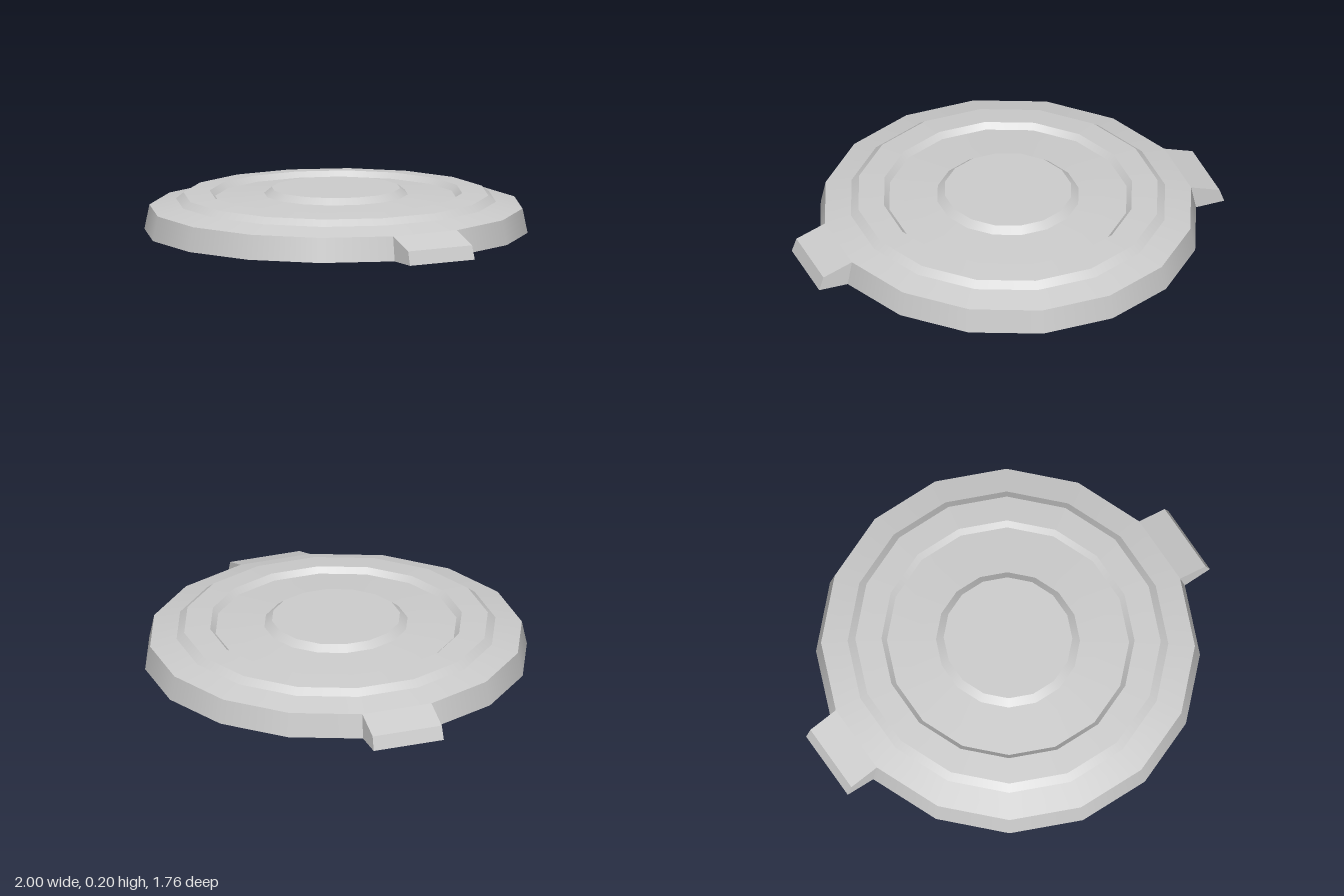
import * as THREE from 'three';
import { mergeGeometries } from 'three/addons/utils/BufferGeometryUtils.js';

const SIDES = 16;
const OVAL = 0.983; // the rings are slightly narrower across x than across z

export function createModel() {
  const group = new THREE.Group();
  const material = new THREE.MeshStandardMaterial({ color: 0xcccccc, side: THREE.DoubleSide });

  const add = (name, geometry) => {
    const mesh = new THREE.Mesh(geometry, material);
    mesh.name = name;
    group.add(mesh);
    return mesh;
  };

  // Oval ring part from [radius, height] points: smooth around, a crisp edge at every point
  const revolve = (name, profile) => {
    const points = profile.map(([r, y]) => new THREE.Vector2(r, y));
    const bands = points.slice(1).map((p, i) => new THREE.LatheGeometry([points[i], p], SIDES));
    const geometry = mergeGeometries(bands).scale(OVAL, 1, 1);
    geometry.normalizeNormals();
    add(name, geometry);
  };

  // Hollow underside with a flat foot ring
  revolve('underside', [[0, 0.07], [0.755, 0.07], [0.765, 0], [0.88, 0]]);

  // Outer wall, stepped shoulder and raised rim
  revolve('body', [[0.88, 0], [0.857, 0.112], [0.735, 0.142], [0.7, 0.17], [0.58, 0.18]]);

  // Dish inside the rim, rising gently towards the centre
  revolve('dish', [[0.58, 0.18], [0.555, 0.155], [0.33, 0.172]]);

  // Raised centre boss
  revolve('centreBoss', [[0.33, 0.172], [0.295, 0.2], [0, 0.2]]);

  // Hollow tab on one side of the outer wall, open underneath
  const tabGeometry = () => {
    const step = (Math.PI * 2) / SIDES;
    const out = new THREE.Vector3(Math.cos(step / 2), 0, Math.sin(step / 2));
    const corner = (r, angle, y, reach) =>
      new THREE.Vector3(r * OVAL * Math.cos(angle), y, r * Math.sin(angle)).addScaledVector(out, reach);
    // bottom near, bottom far, top far, top near
    const inner = [corner(0.88, 0, 0, 0), corner(0.88, step, 0, 0),
      corner(0.857, step, 0.112, 0), corner(0.857, 0, 0.112, 0)];
    const outer = [corner(0.87, 0, 0, 0.148), corner(0.87, step, 0, 0.148),
      corner(0.857, step, 0.063, 0.139), corner(0.857, 0, 0.063, 0.139)];
    const points = [];
    const quad = (a, b, c, d) => points.push(a, b, c, a, c, d);
    // Far side, top, near side
    for (let i = 1; i < 4; i++) {
      const j = (i + 1) % 4;
      quad(inner[i], inner[j], outer[j], outer[i]);
    }
    quad(...outer);
    // Reverse the order so every face points outwards
    const geometry = new THREE.BufferGeometry().setFromPoints(points.reverse());
    geometry.computeVertexNormals();
    return geometry;
  };

  add('leftTab', tabGeometry());
  add('rightTab', tabGeometry()).rotation.y = Math.PI;

  return group;
}
